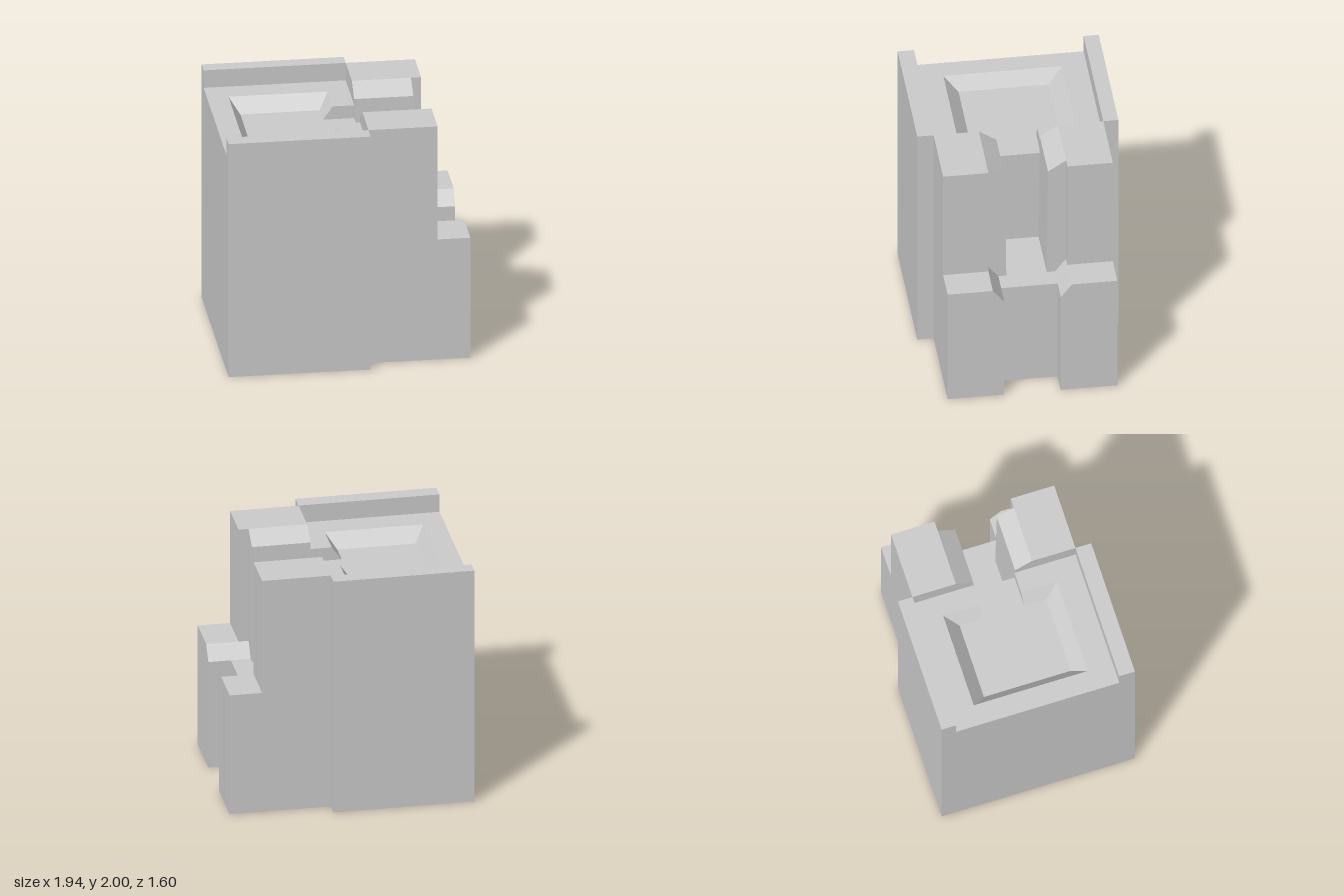
import * as THREE from 'three';

const material = new THREE.MeshStandardMaterial({ color: 0xcccccc, flatShading: true });

export function createModel() {
  const group = new THREE.Group();

  const add = (name, geometry) => {
    const mesh = new THREE.Mesh(geometry, material);
    mesh.name = name;
    group.add(mesh);
  };

  // Box given by its limits on each axis
  const box = (name, [x0, x1], [y0, y1], [z0, z1]) => {
    const g = new THREE.BoxGeometry(x1 - x0, y1 - y0, z1 - z0);
    add(name, g.translate((x0 + x1) / 2, (y0 + y1) / 2, (z0 + z1) / 2));
  };

  // Cross-section of [z, y] points drawn out along x
  const beam = (name, x0, x1, section) => {
    const shape = new THREE.Shape(section.map(([z, y]) => new THREE.Vector2(-z, y)));
    const g = new THREE.ExtrudeGeometry(shape, { depth: x1 - x0, bevelEnabled: false });
    add(name, g.rotateY(Math.PI / 2).translate(x0, 0, 0));
  };

  // Walls between two [x, z] outlines, closed on top
  const slab = (name, bottom, y0, top, y1) => {
    const pos = [];
    const b = bottom.map(([x, z]) => [x, y0, z]);
    const t = top.map(([x, z]) => [x, y1, z]);
    b.forEach((p, i) => {
      const j = (i + 1) % b.length;
      pos.push(...p, ...b[j], ...t[j], ...p, ...t[j], ...t[i]);
    });
    const contour = top.map(([x, z]) => new THREE.Vector2(x, -z));
    for (const face of THREE.ShapeUtils.triangulateShape(contour, [])) {
      face.forEach((i) => pos.push(...t[i]));
    }
    const g = new THREE.BufferGeometry();
    g.setAttribute('position', new THREE.Float32BufferAttribute(pos, 3));
    g.computeVertexNormals();
    add(name, g);
  };

  // Main body; its top is the floor of the basin and channel
  box('mainBody', [-0.97, 0.16], [0, 1.74], [-0.68, 0.67]);
  box('leftSideWall', [-0.97, 0.16], [0, 2], [-0.8, -0.68]);
  box('rightSideWall', [-0.97, 0.16], [0, 2], [0.67, 0.8]);

  // Top plate around the sloped basin, open to the channel at +x
  const plate = (xIn, xOut, zBack, zFront) => [
    [0.16, 0.67], [0.16, 0.165], [xIn, 0.165], [xIn, zFront], [xOut, zFront],
    [xOut, zBack], [xIn, zBack], [xIn, -0.18], [0.16, -0.18],
    [0.16, -0.68], [-0.97, -0.68], [-0.97, 0.67],
  ];
  slab('basinPlate', plate(-0.09, -0.72, -0.37, 0.35), 1.74, plate(-0.01, -0.8, -0.48, 0.46), 1.85);

  // Stepped pillars on both sides of the channel
  const sides = [
    { name: 'frontPillar', outer: 0.67, inner: 0.31, lip: 0.17, foot: 0.156, low: 0.22 },
    { name: 'backPillar', outer: -0.68, inner: -0.32, lip: -0.175, foot: -0.165, low: -0.23 },
  ];
  for (const { name, outer, inner, lip, foot, low } of sides) {
    beam(name, 0.16, 0.63, [[outer, 0], [outer, 2], [inner, 2], [lip, 1.905], [foot, 0.915], [foot, 0]]);
    box(name + 'Edge', [0.63, 0.71], [1.03, 2], [Math.min(inner, outer), Math.max(inner, outer)]);
    beam(name + 'Step', 0.63, 0.97, [[outer, 0], [outer, 1.03], [inner, 1.03], [low, 0.915], [low, 0]]);
  }

  // Low block at the foot of the channel
  box('channelFoot', [0.16, 0.79], [0, 0.915], [-0.23, 0.22]);

  return group;
}
